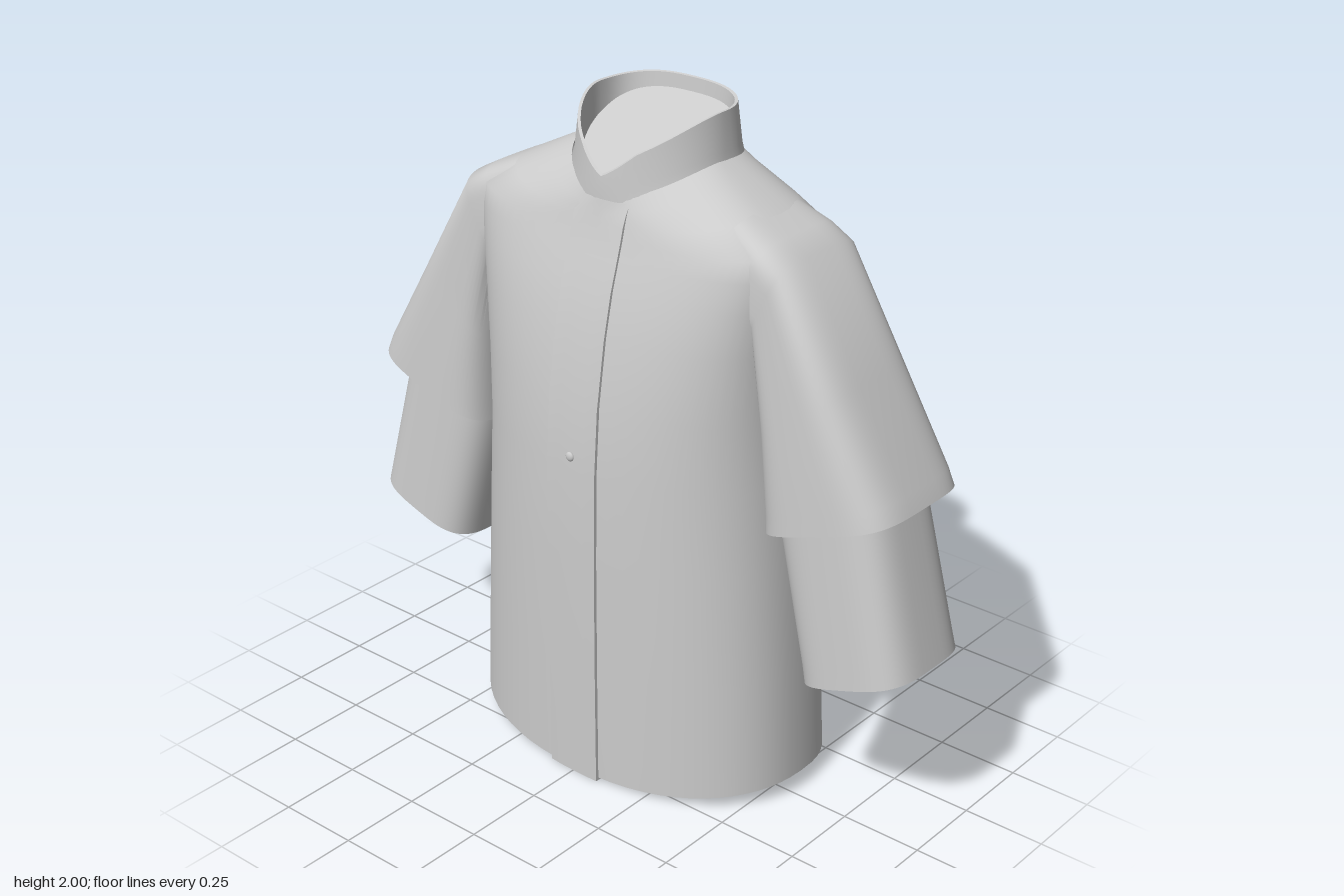
import * as THREE from 'three';
import { toCreasedNormals } from 'three/addons/utils/BufferGeometryUtils.js';

const material = new THREE.MeshStandardMaterial({ color: 0xcccccc, side: THREE.DoubleSide });
const N = 64;
const power = (v, n) => Math.sign(v) * Math.pow(Math.abs(v), 2 / n);

// Skin a list of equal-length point rows, ordered bottom to top
function loft(name, rows, closed = true, crease = 0.7) {
  const pos = [], index = [], n = rows[0].length;
  rows.forEach(r => r.forEach(p => pos.push(p.x, p.y, p.z)));
  for (let i = 0; i < rows.length - 1; i++) {
    for (let j = 0; j < (closed ? n : n - 1); j++) {
      const k = (j + 1) % n, a = i * n + j, b = i * n + k;
      index.push(a, a + n, b, b, a + n, b + n);
    }
  }
  const g = new THREE.BufferGeometry();
  g.setAttribute('position', new THREE.Float32BufferAttribute(pos, 3));
  g.setIndex(index);
  const mesh = new THREE.Mesh(toCreasedNormals(g, crease), material);
  mesh.name = name;
  return mesh;
}

// Copy of a ring scaled about its centre and moved
function inset(ring, scale, dx, dy) {
  const c = ring.reduce((s, p) => s.add(p), new THREE.Vector3()).divideScalar(ring.length);
  return ring.map(p => p.clone().sub(c).multiplyScalar(scale).add(c).add(new THREE.Vector3(dx, dy, 0)));
}

// Oval ring with different front and back depth, height and squareness
function ovalRing({ y, w, f, b, zc = -0.04, nf, nb, notch = 0 }) {
  const [side, front, back] = y;
  return Array.from({ length: N }, (_, j) => {
    const a = j / N * Math.PI * 2, s = Math.sin(a), isFront = s >= 0;
    const n = isFront ? nf : nb, x = w * power(Math.cos(a), n);
    const dip = isFront ? notch * Math.max(0, 1 - Math.abs(x) / 0.1) : 0;
    return new THREE.Vector3(
      x,
      side + ((isFront ? front : back) - side) * s * s - dip,
      zc + Math.abs(power(s, n)) * ((isFront ? f : b) - zc));
  });
}

// Body sections: [side y, front y, back y], half width, front z, back z, squareness
const bodySections = [
  [[0.06, 0.01, 0.075], 0.565, 0.322, -0.33, 2.3, 2.7],
  [[0.4, 0.37, 0.4], 0.547, 0.323, -0.33, 2.3, 2.7],
  [[0.75, 0.73, 0.75], 0.527, 0.322, -0.33, 2.3, 2.7],
  [[1.0, 1.0, 1.0], 0.514, 0.317, -0.33, 2.3, 2.7],
  [[1.2, 1.2, 1.2], 0.508, 0.302, -0.329, 2.5, 2.8],
  [[1.4, 1.4, 1.4], 0.512, 0.27, -0.323, 2.9, 3],
  [[1.53, 1.53, 1.5], 0.525, 0.24, -0.316, 3.2, 3.2],
  [[1.62, 1.61, 1.58], 0.535, 0.215, -0.306, 3.4, 3.3],
  [[1.685, 1.66, 1.66], 0.53, 0.2, -0.29, 3.5, 3.4],
  [[1.755, 1.7, 1.74], 0.42, 0.19, -0.268, 3, 3],
  [[1.82, 1.73, 1.8], 0.29, 0.183, -0.248, 2.4, 2.8],
  [[1.85, 1.76, 1.84], 0.232, 0.178, -0.235, 2, 2.7],
].map(([y, w, f, b, nf, nb]) => ({ y, w, f, b, nf, nb }));

function body() {
  const rings = bodySections.map(ovalRing);
  const inner = inset(rings[0], 0.975, 0, 0.025);
  return loft('body', [inset(inner, 0.001, 0, 0), inner, ...rings], true, 0.9);
}

// Raised front strip following the body's front surface, its free edge on the left
function placket() {
  const columns = [[0.092, -0.015], [0.09, 0.009], [0.045, 0.008], [0, 0.007], [-0.045, 0.006], [-0.09, 0.004], [-0.092, -0.015]];
  const rows = bodySections.map(({ y, w, f, nf }) => columns.map(([x, lift]) => {
    const z = -0.04 + (f + 0.04) * Math.pow(1 - Math.pow(Math.abs(x / w), nf), 1 / nf);
    return new THREE.Vector3(x, y[1] - 0.008, z + lift);
  }));
  return loft('placket', rows, false);
}

// Stand collar with a V notch and a thin rim around the closed, sloping neck
function collar() {
  const base = { y: [1.84, 1.745, 1.83], w: 0.236, f: 0.184, b: -0.238, zc: -0.06, nf: 2, nb: 2.7 };
  const rings = [
    base,
    { ...base, y: [1.87, 1.785, 1.86], w: 0.23, f: 0.184, b: -0.231, nf: 1.9 },
    { ...base, y: [1.98, 1.86, 1.999], w: 0.221, f: 0.182, b: -0.212, nf: 1.8, notch: 0.045 },
  ].map(ovalRing);
  const rim = inset(rings[2], 0.96, 0, 0);
  const neck = inset(rim, 0.98, 0, 0);
  neck.forEach(p => { p.y = 1.868 - 0.44 * p.z; });
  return loft('collar', [...rings, rim, neck, inset(neck, 0.001, 0, 0)]);
}

// Sleeve section from outer point to inner point, between two depths
function sleeveRing(side, [ox, oy, ix, iy, zf, zb], n) {
  return Array.from({ length: N }, (_, j) => {
    const a = side * j / N * Math.PI * 2, c = power(Math.cos(a), n), s = power(Math.sin(a), n);
    return new THREE.Vector3(
      side * ((ox + ix) / 2 + c * (ox - ix) / 2),
      (oy + iy) / 2 + c * (oy - iy) / 2,
      (zf + zb) / 2 + s * (zf - zb) / 2);
  });
}

function sleeve(side) {
  const group = new THREE.Group();
  group.name = side > 0 ? 'leftSleeve' : 'rightSleeve';

  // Wide outer sleeve, hem folded in, upper end running into the shoulder
  const outer = [
    [0.88, 1.055, 0.545, 0.935, 0.14, -0.225],
    [0.925, 1.06, 0.525, 0.915, 0.165, -0.245],
    [0.938, 1.05, 0.515, 0.9, 0.176, -0.256],
    [0.915, 1.1, 0.513, 0.95, 0.174, -0.254],
    [0.755, 1.365, 0.495, 1.18, 0.163, -0.242],
    [0.57, 1.68, 0.46, 1.45, 0.145, -0.222],
    [0.5, 1.717, 0.39, 1.5, 0.142, -0.222],
    [0.4, 1.762, 0.3, 1.55, 0.12, -0.2],
  ].map(r => sleeveRing(side, r, 4));
  group.add(loft('outerSleeve', outer));

  // Narrow under sleeve with a recessed closed end
  const under = [
    [0.993, 0.58, 0.64, 0.46, 0.142, -0.222],
    [0.98, 0.63, 0.63, 0.51, 0.14, -0.22],
    [0.87, 1.06, 0.525, 0.94, 0.125, -0.21],
  ].map(r => sleeveRing(side, r, 3.5));
  const end = inset(under[0], 0.95, -side * 0.007, 0.024);
  group.add(loft('underSleeve', [inset(end, 0.001, 0, 0), end, ...under]));
  return group;
}

export function createModel() {
  const model = new THREE.Group();
  model.name = 'jacket';
  model.add(body(), placket(), collar(), sleeve(1), sleeve(-1));

  // Small fastener on the placket
  const button = new THREE.Mesh(new THREE.SphereGeometry(0.014, 16, 10), material);
  button.name = 'button';
  button.scale.z = 0.5;
  button.position.set(0, 1.035, 0.322);
  model.add(button);
  return model;
}
